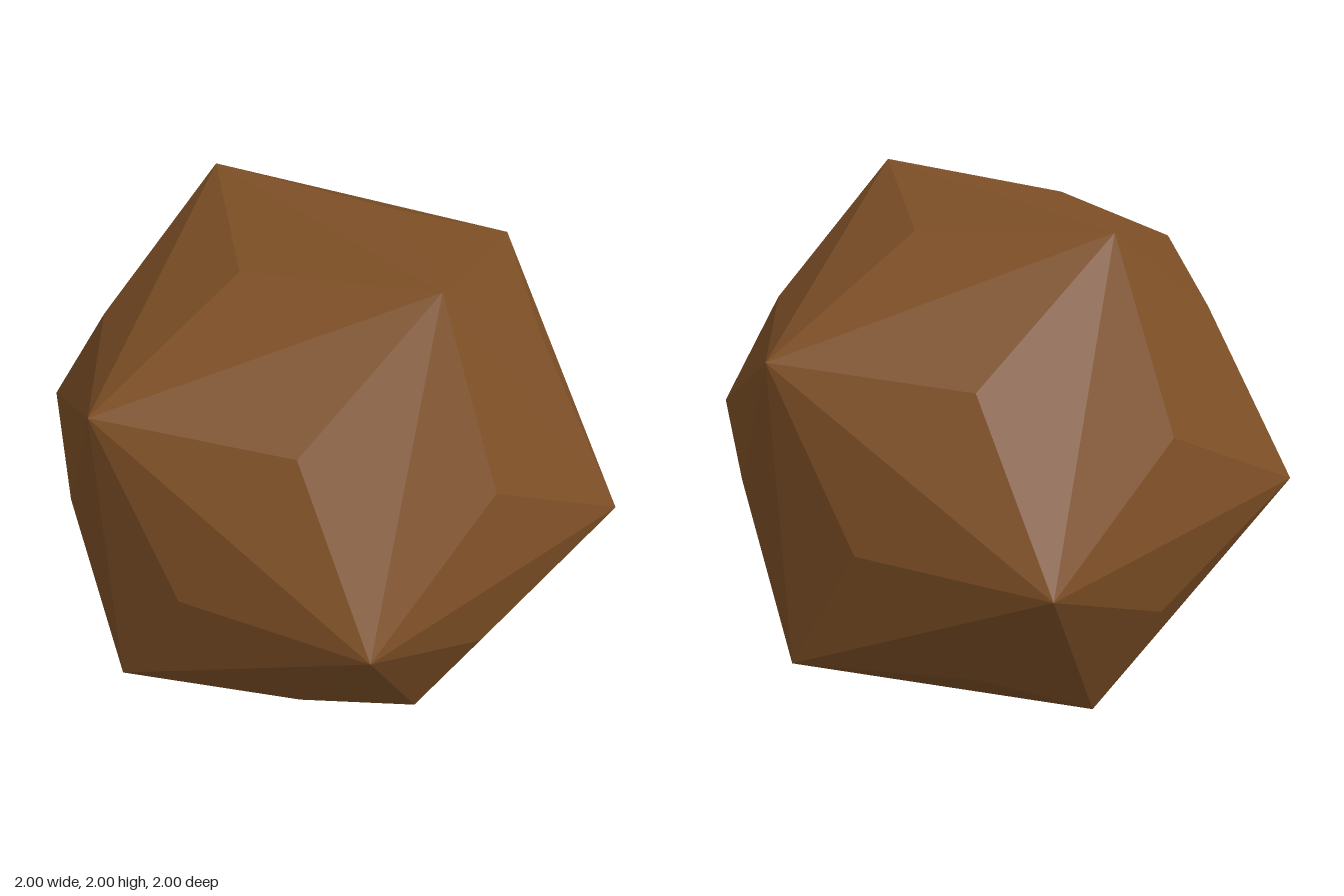
import * as THREE from 'three';

// Raises a low pyramid on every triangle, with its tip at the given radius.
function raiseFaces(geometry, tipRadius) {
  const source = geometry.index ? geometry.toNonIndexed() : geometry;
  const position = source.getAttribute('position');
  const points = [];
  for (let i = 0; i < position.count; i += 3) {
    const corners = [0, 1, 2].map((k) => new THREE.Vector3().fromBufferAttribute(position, i + k));
    const tip = new THREE.Vector3().add(corners[0]).add(corners[1]).add(corners[2]).setLength(tipRadius);
    for (let k = 0; k < 3; k++) points.push(corners[k], corners[(k + 1) % 3], tip);
  }
  const result = new THREE.BufferGeometry().setFromPoints(points);
  result.computeVertexNormals();
  return result;
}

export function createModel() {
  const group = new THREE.Group();
  group.name = 'facetedStone';

  const brown = new THREE.MeshStandardMaterial({ color: 0x7d4f26, flatShading: true });
  brown.name = 'brown';

  // Twenty-sided body whose outer corners span exactly two units
  const golden = (1 + Math.sqrt(5)) / 2;
  const cornerRadius = Math.hypot(1, 1 / golden);
  const base = new THREE.IcosahedronGeometry(cornerRadius, 0).rotateZ(Math.PI / 2);

  const stone = new THREE.Mesh(raiseFaces(base, 1), brown);
  stone.name = 'stone';
  stone.position.y = 1;
  group.add(stone);
  return group;
}
